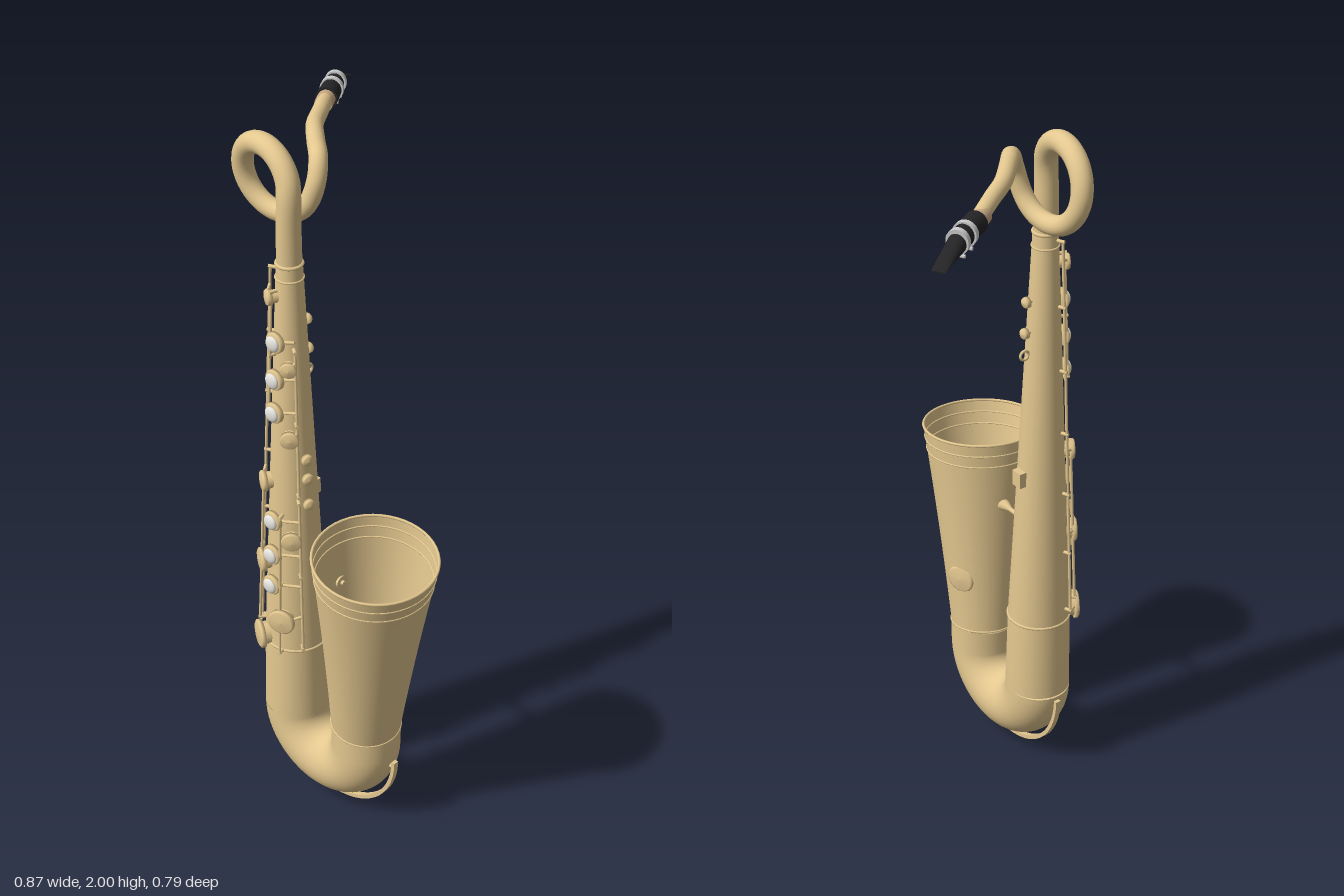
import * as THREE from 'three';

const V = (x, y, z) => new THREE.Vector3(x, y, z);
const UP = V(0, 1, 0);
const mat = (color, side = THREE.FrontSide) => new THREE.MeshStandardMaterial({ color, side });
const brass = mat(0xe3c78f), brassThin = mat(0xe3c78f, THREE.DoubleSide);
const black = mat(0x242426), silver = mat(0xc4c4c4), pearl = mat(0xe6e4de), cork = mat(0xc9a883);

// Axis and taper of the long conical tube
const CX = -0.064, CZ = 0.19;
const bodyR = (y) => 0.087 - (y - 0.5) * 0.0445;
const onBody = (a, y, off = 0) => {
  const r = bodyR(y) + off;
  return V(CX + Math.sin(a) * r, y, CZ + Math.cos(a) * r);
};

function add(parent, name, geo, material, pos) {
  const m = new THREE.Mesh(geo, material);
  m.name = name;
  if (pos) m.position.copy(pos);
  parent.add(m);
  return m;
}

// Tube whose radius follows a function of t
function taperedTube(curve, segs, radius, sides = 32) {
  const geo = new THREE.TubeGeometry(curve, segs, 1, sides);
  const p = geo.attributes.position, v = V(0, 0, 0);
  for (let i = 0; i <= segs; i++) {
    const c = curve.getPointAt(i / segs), r = radius(i / segs);
    for (let j = 0; j <= sides; j++) {
      const k = i * (sides + 1) + j;
      v.fromBufferAttribute(p, k).sub(c).multiplyScalar(r).add(c);
      p.setXYZ(k, v.x, v.y, v.z);
    }
  }
  geo.computeBoundingSphere();
  return geo;
}

function rod(parent, name, a, b, r = 0.004, r2 = r) {
  const d = b.clone().sub(a);
  const m = add(parent, name, new THREE.CylinderGeometry(r2, r, d.length(), 10), brass, a.clone().add(b).multiplyScalar(0.5));
  m.quaternion.setFromUnitVectors(UP, d.normalize());
  return m;
}

function ring(parent, name, r, tube, pos, axis = UP, material = brass) {
  const m = add(parent, name, new THREE.TorusGeometry(r, tube, 8, 48), material, pos);
  m.quaternion.setFromUnitVectors(V(0, 0, 1), axis);
  return m;
}

// Padded key cup: a domed disc with its face along local +z
function keyCup(parent, r, pos, turn, name = 'keyCup') {
  const pts = [[0, -0.007], [r, -0.007], [r, 0.003], [r * 0.85, 0.007], [0, 0.01]].map((p) => new THREE.Vector2(...p));
  const m = add(parent, name, new THREE.LatheGeometry(pts, 24).rotateX(Math.PI / 2), brass, pos);
  m.rotation.y = turn;
  return m;
}

function buildBody(g) {
  // Straight conical tube
  const pts = [[0.092, 0.26], [bodyR(0.5), 0.5], [bodyR(1.69), 1.69]].map((p) => new THREE.Vector2(...p));
  add(g, 'bodyTube', new THREE.LatheGeometry(pts, 48), brassThin, V(CX, 0, CZ));
  ring(g, 'bodyRing', 0.087, 0.004, V(CX, 0.5, CZ));
  ring(g, 'neckCollar', 0.033, 0.005, V(CX, 1.69, CZ));
  ring(g, 'upperRing', bodyR(1.65), 0.003, V(CX, 1.65, CZ));

  // U-shaped bow
  const bowPts = [];
  for (let i = 0; i <= 24; i++) {
    const a = Math.PI * (1 + i / 24);
    bowPts.push(V(0.068 + 0.132 * Math.cos(a), 0.26 + 0.132 * Math.sin(a), CZ));
  }
  bowPts.push(V(0.2, 0.335, CZ));
  add(g, 'bow', taperedTube(new THREE.CatmullRomCurve3(bowPts), 48, (t) => 0.092 + 0.005 * t, 40), brassThin);

  // Guard strip below the bow, with its posts
  const strip = new THREE.Shape();
  strip.absarc(0, 0, 0.24, Math.PI, Math.PI * 2, false);
  strip.absarc(0, 0, 0.229, Math.PI * 2, Math.PI, true);
  const guard = new THREE.ExtrudeGeometry(strip, { depth: 0.016, bevelEnabled: false, curveSegments: 40 });
  add(g, 'bowGuard', guard, brass, V(0.074, 0.243, CZ - 0.008));
  for (const a of [-Math.PI * 0.97, -Math.PI / 2, -Math.PI * 0.03]) {
    const at = (r) => V(0.074 + r * Math.cos(a), 0.243 + r * Math.sin(a), CZ);
    rod(g, 'guardPost', at(0.195), at(0.234), 0.006);
  }
}

function buildBell(g) {
  const base = V(0.2, 0.33, 0.19), top = V(0.265, 0.95, 0.226);
  const axis = top.clone().sub(base), len = axis.length();
  axis.normalize();
  const bell = new THREE.Group();
  bell.name = 'bell';
  bell.position.copy(base);
  bell.quaternion.setFromUnitVectors(UP, axis);
  g.add(bell);
  const r = (t) => 0.097 + 0.056 * t + 0.014 * t * t;
  const pts = Array.from({ length: 17 }, (_, i) => new THREE.Vector2(r(i / 16), (len * i) / 16));
  add(bell, 'bellWall', new THREE.LatheGeometry(pts, 64), brassThin);
  ring(bell, 'bellRim', r(1) - 0.001, 0.004, V(0, len, 0));
  for (const d of [0.035, 0.07]) ring(bell, 'bellBand', r(1 - d / len), 0.0025, V(0, len - d, 0));
  ring(bell, 'bellSeam', 0.097, 0.003, V(0, 0, 0));
  // Low key on the back of the bell
  keyCup(g, 0.042, V(0.185, 0.51, 0.097), Math.PI + 0.38, 'bellKey');
  // Brace between body and bell
  rod(g, 'bellBrace', V(0.0, 0.77, CZ), V(0.12, 0.77, CZ), 0.007);
  rod(g, 'braceFoot', V(0.075, 0.77, CZ), V(0.112, 0.77, CZ), 0.007, 0.02);
  rod(g, 'braceFoot', V(0.03, 0.77, CZ), V(0.005, 0.77, CZ), 0.007, 0.016);
}

function buildNeck(g) {
  // Rises, makes one full loop, then runs back to the mouthpiece
  const path = [V(CX, 1.69, CZ), V(CX, 1.78, CZ)];
  for (let i = 0; i <= 15; i++) {
    const a = (i / 15) * 5.9;
    path.push(V(-0.166 + 0.102 * Math.cos(a), 1.87 + 0.102 * Math.sin(a), 0.188 - a * 0.0142));
  }
  path.push(V(-0.06, 1.89, 0.092), V(-0.076, 1.932, 0.07), V(-0.13, 1.94, 0.022), V(-0.2, 1.937, -0.046), V(-0.245, 1.93, -0.11), V(-0.3, 1.919, -0.188));
  add(g, 'neckTube', taperedTube(new THREE.CatmullRomCurve3(path), 200, (t) => 0.033 - 0.012 * t, 24), brass);

  // Mouthpiece: local +z runs from the cork to the tip
  const mp = new THREE.Group();
  mp.name = 'mouthpiece';
  mp.position.set(-0.307, 1.916, -0.2);
  mp.lookAt(-0.418, 1.907, -0.386);
  g.add(mp);
  const L = 0.217;
  const width = (t) => 0.03 - 0.011 * t;
  const roof = (t) => (t < 0.45 ? 0.03 - 0.004 * t : 0.028 - (t - 0.45) * 0.092);
  const floor = (t) => -0.03 + 0.003 * t;
  const geo = new THREE.CylinderGeometry(1, 1, L, 32, 20).rotateX(Math.PI / 2).translate(0, 0, L / 2);
  const p = geo.attributes.position;
  for (let i = 0; i < p.count; i++) {
    const t = p.getZ(i) / L, hi = roof(t), lo = floor(t);
    p.setX(i, p.getX(i) * width(t));
    p.setY(i, (hi + lo) / 2 + (p.getY(i) * (hi - lo)) / 2);
  }
  geo.computeVertexNormals();
  add(mp, 'mouthpieceBody', geo, black);
  add(mp, 'cork', new THREE.CylinderGeometry(0.024, 0.024, 0.045, 24).rotateX(Math.PI / 2), cork, V(0, 0, -0.015));
  // Ligature bands and screws
  for (const t of [0.29, 0.48]) {
    const band = new THREE.CylinderGeometry(1, 1, 0.014, 32).rotateX(Math.PI / 2);
    band.scale(width(t) + 0.005, 0.033, 1);
    add(mp, 'ligatureBand', band, silver, V(0, 0, t * L));
    add(mp, 'ligatureScrew', new THREE.CylinderGeometry(0.005, 0.005, 0.035, 10).rotateZ(Math.PI / 2), silver, V(0, -0.037, t * L));
  }
}

function buildKeys(g) {
  // Long hinge rods on posts: [angle, low end, high end]
  const rods = [[-1.15, 0.54, 1.67], [-0.75, 0.56, 1.02], [0.95, 0.52, 1.0], [0.95, 1.02, 1.46], [0.3, 0.5, 0.95], [-0.3, 1.25, 1.62]];
  for (const [a, lo, hi] of rods) {
    rod(g, 'hingeRod', onBody(a, lo, 0.016), onBody(a, hi, 0.016), 0.004);
    const n = Math.max(2, Math.round((hi - lo) / 0.2));
    for (let i = 0; i <= n; i++) {
      const y = lo + ((hi - lo) * i) / n;
      rod(g, 'hingePost', onBody(a, y, -0.005), onBody(a, y, 0.021), 0.005);
    }
  }
  // Key cups on the front, each with an arm to a hinge rod: [angle, height, radius]
  const cups = [[-0.5, 1.6, 0.022], [0.65, 1.41, 0.022], [0.67, 1.2, 0.025], [-0.55, 1.035, 0.029],
    [0.68, 0.88, 0.028], [-0.53, 0.775, 0.034], [0.36, 0.61, 0.038], [-0.5, 0.52, 0.041]];
  for (const [a, y, r] of cups) {
    keyCup(g, r, onBody(a, y, 0.019), a);
    rod(g, 'keyArm', onBody(a, y, 0.026), onBody(a < 0 ? -1.15 : 0.95, y + 0.02, 0.016));
    rod(g, 'toneHole', onBody(a, y, -0.01), onBody(a, y, 0.014), r * 0.8);
  }
  // Finger keys with pearl touches
  for (const y of [1.48, 1.37, 1.27, 0.93, 0.82, 0.72]) {
    keyCup(g, 0.029, onBody(0, y, 0.014), 0, 'fingerKey');
    const touch = new THREE.SphereGeometry(0.022, 20, 12).scale(1, 1, 0.4);
    add(g, 'pearlTouch', touch, pearl, onBody(0, y, 0.024));
    rod(g, 'keyArm', onBody(0, y, 0.012), onBody(0.95, y + 0.01, 0.016));
  }
  // Small side touches
  for (const y of [0.99, 1.07, 1.13]) {
    rod(g, 'sideStem', onBody(1.3, y, -0.005), onBody(1.3, y, 0.014));
    keyCup(g, 0.016, onBody(1.3, y, 0.016), 1.3, 'sideTouch');
  }
  // Vent keys, strap ring and thumb hook on the back
  for (const y of [1.5, 1.41]) {
    rod(g, 'ventStem', onBody(Math.PI, y, -0.005), onBody(Math.PI, y, 0.014), 0.005);
    keyCup(g, 0.015, onBody(Math.PI, y, 0.017), Math.PI, 'ventKey');
  }
  ring(g, 'strapRing', 0.013, 0.004, onBody(Math.PI, 1.345, 0.013), V(1, 0, 0));
  add(g, 'thumbHook', new THREE.BoxGeometry(0.035, 0.045, 0.025), brass, onBody(Math.PI, 0.97, 0.006));
}

export function createModel() {
  const model = new THREE.Group();
  model.name = 'loopNeckHorn';
  for (const [name, build] of [['body', buildBody], ['bellSection', buildBell], ['neck', buildNeck], ['keywork', buildKeys]]) {
    const part = new THREE.Group();
    part.name = name;
    build(part);
    model.add(part);
  }
  return model;
}
